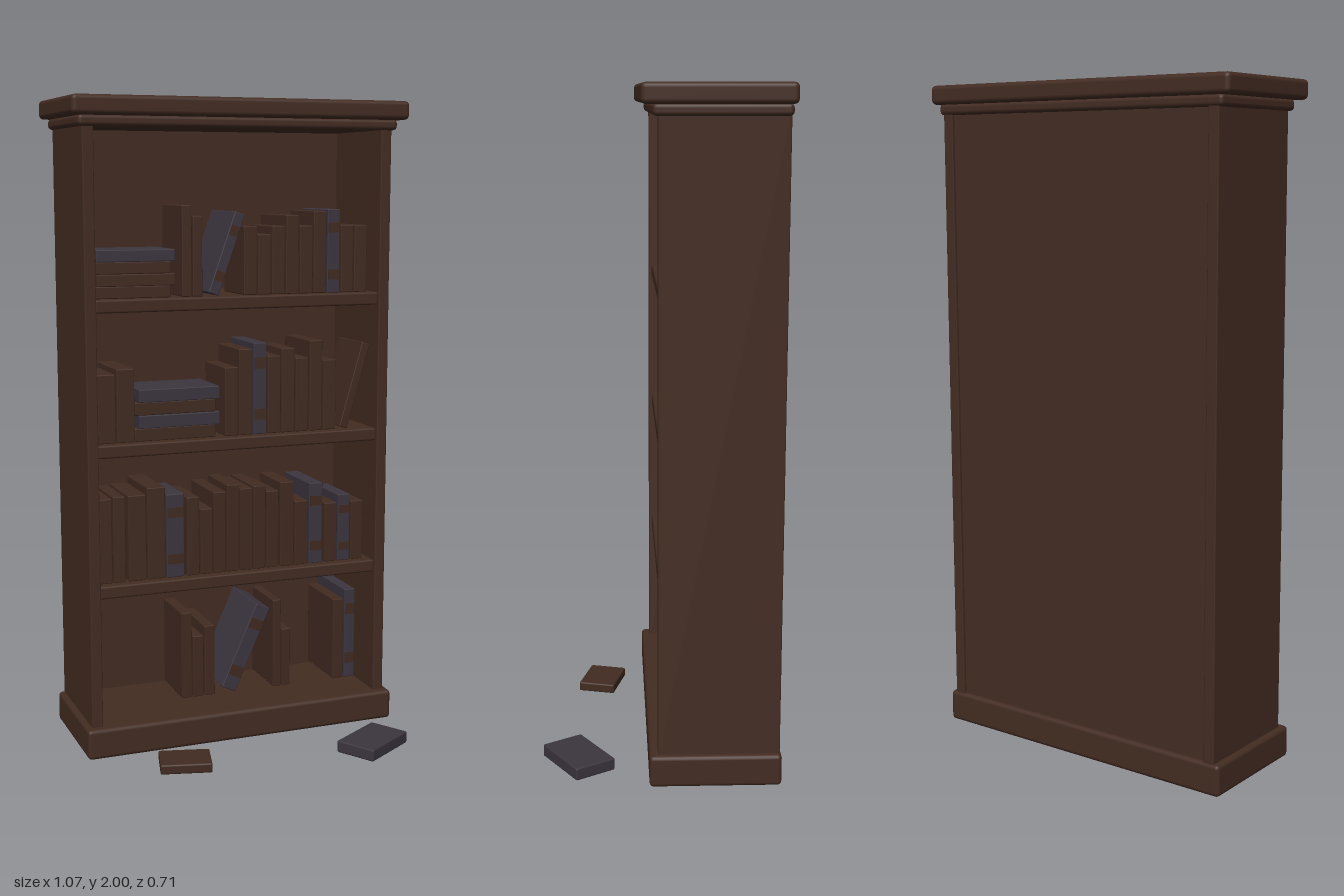
import * as THREE from 'three';
import { RoundedBoxGeometry } from 'three/addons/geometries/RoundedBoxGeometry.js';

const material = (name, color) => {
  const m = new THREE.MeshStandardMaterial({ color });
  m.name = name;
  return m;
};

export function createModel() {
  const model = new THREE.Group();
  model.name = 'bookcase';
  const wood = material('dark wood', 0x432c22);
  const brown = material('brown leather', 0x412b21);
  const violet = material('dusky violet cloth', 0x3c353f);

  // Box given by its extents on each axis, with an optional softened edge.
  function block(parent, name, mat, [x0, x1], [y0, y1], [z0, z1], radius = 0) {
    const size = [x1 - x0, y1 - y0, z1 - z0];
    const geometry = radius
      ? new RoundedBoxGeometry(...size, 2, radius)
      : new THREE.BoxGeometry(...size);
    const mesh = new THREE.Mesh(geometry, mat);
    mesh.name = name;
    mesh.position.set((x0 + x1) / 2, (y0 + y1) / 2, (z0 + z1) / 2);
    parent.add(mesh);
    return mesh;
  }

  // Carcass
  block(model, 'base', wood, [-0.515, 0.515], [0, 0.095], [-0.35, 0.035], 0.012);
  block(model, 'crownMoulding', wood, [-0.51, 0.51], [1.912, 1.945], [-0.35, 0.025], 0.012);
  block(model, 'topBoard', wood, [-0.536, 0.536], [1.943, 2], [-0.36, 0.057], 0.014);
  block(model, 'backPanel', wood, [-0.465, 0.465], [0.09, 1.92], [-0.336, -0.32]);
  for (const s of [-1, 1]) {
    const side = block(model, s > 0 ? 'leftSide' : 'rightSide', wood,
      [-0.0175, 0.0175], [0.085, 1.92], [-0.345, 0.01], 0.004);
    side.position.x = s * 0.4785;
  }

  // Heights on which the books stand, from the lowest row up
  const [low, second, third, top] = [0.137, 0.537, 0.973, 1.41];
  for (const y of [second, third, top]) {
    block(model, 'shelf', wood, [-0.463, 0.463], [y - 0.04, y], [-0.325, 0], 0.006);
  }

  // One book; its origin is the lower right corner of the spine, so it can lean.
  const FRONT = -0.03;
  let count = 0;
  function book(right, y, width, height, isViolet = false, lean = 0) {
    const g = new THREE.Group();
    g.name = 'book';
    const depth = 0.18 + 0.012 * (count++ % 4);
    block(g, 'cover', isViolet ? violet : brown, [-width, 0], [0, height], [-depth, 0], 0.003);
    if (isViolet) {
      // Spine bands
      for (const t of [0.16, 0.72]) {
        block(g, 'spineBand', brown, [-width + 0.003, -0.003],
          [t * height, (t + 0.12) * height], [-0.002, 0.002]);
      }
    }
    g.position.set(right, y, FRONT);
    g.rotation.z = -lean;
    model.add(g);
  }

  // Upright books sharing the space between left and right evenly.
  function run(y, left, right, heights, violetIndex = -1) {
    const pitch = (right - left) / heights.length;
    heights.forEach((h, i) => {
      book(left + (i + 1) * pitch, y, pitch - 0.004, h, i === violetIndex);
    });
  }

  run(low, -0.195, -0.08, [0.28, 0.2, 0.23]);
  book(-0.01, low, 0.05, 0.29, true, 0.42);
  run(low, 0.115, 0.18, [0.29, 0.19]);
  run(low, 0.328, 0.41, [0.27, 0.3], 1);

  run(second, -0.455, -0.37, [0.265, 0.27]);
  run(second, -0.365, -0.18, [0.27, 0.29, 0.265], 2);
  run(second, -0.175, 0.137, [0.25, 0.21, 0.26, 0.28, 0.265, 0.27, 0.25]);
  run(second, 0.14, 0.29, [0.275, 0.21, 0.265], 2);
  run(second, 0.295, 0.434, [0.195, 0.22, 0.195], 1);

  run(third, -0.455, -0.336, [0.21, 0.225]);
  run(third, -0.048, 0.333, [0.215, 0.27, 0.288, 0.245, 0.267, 0.235, 0.288, 0.225], 2);
  book(0.374, third, 0.028, 0.28, false, 0.28);

  run(top, -0.185, -0.116, [0.275, 0.243]);
  book(-0.064, top, 0.034, 0.26, true, 0.34);
  run(top, 0.016, 0.435, [0.21, 0.185, 0.21, 0.243, 0.21, 0.255, 0.26, 0.21, 0.21], 6);

  // Four lying books, each shifted a little from the one below.
  function stack(y, left, right, height, violetIndices) {
    const t = height / 4;
    for (let i = 0; i < 4; i++) {
      const shift = 0.006 * (i % 2 ? 1 : -1);
      block(model, 'stackedBook', violetIndices.includes(i) ? violet : brown,
        [left + shift, right + shift], [y + i * t, y + (i + 1) * t],
        [-0.215 + shift, FRONT + shift / 2], 0.003);
    }
  }
  stack(third, -0.328, -0.068, 0.16, [1, 3]);
  stack(top, -0.455, -0.21, 0.145, [3]);

  // Books lying on the floor
  function floorBook(name, mat, width, height, depth, x, z, turn) {
    const mesh = block(model, name, mat, [x - width / 2, x + width / 2], [0, height],
      [z - depth / 2, z + depth / 2], 0.005);
    mesh.rotation.y = turn;
  }
  floorBook('floorBookSmall', brown, 0.157, 0.03, 0.119, -0.251, 0.175, -0.257);
  floorBook('floorBookLarge', violet, 0.2, 0.038, 0.133, 0.346, 0.244, 0.552);

  return model;
}
